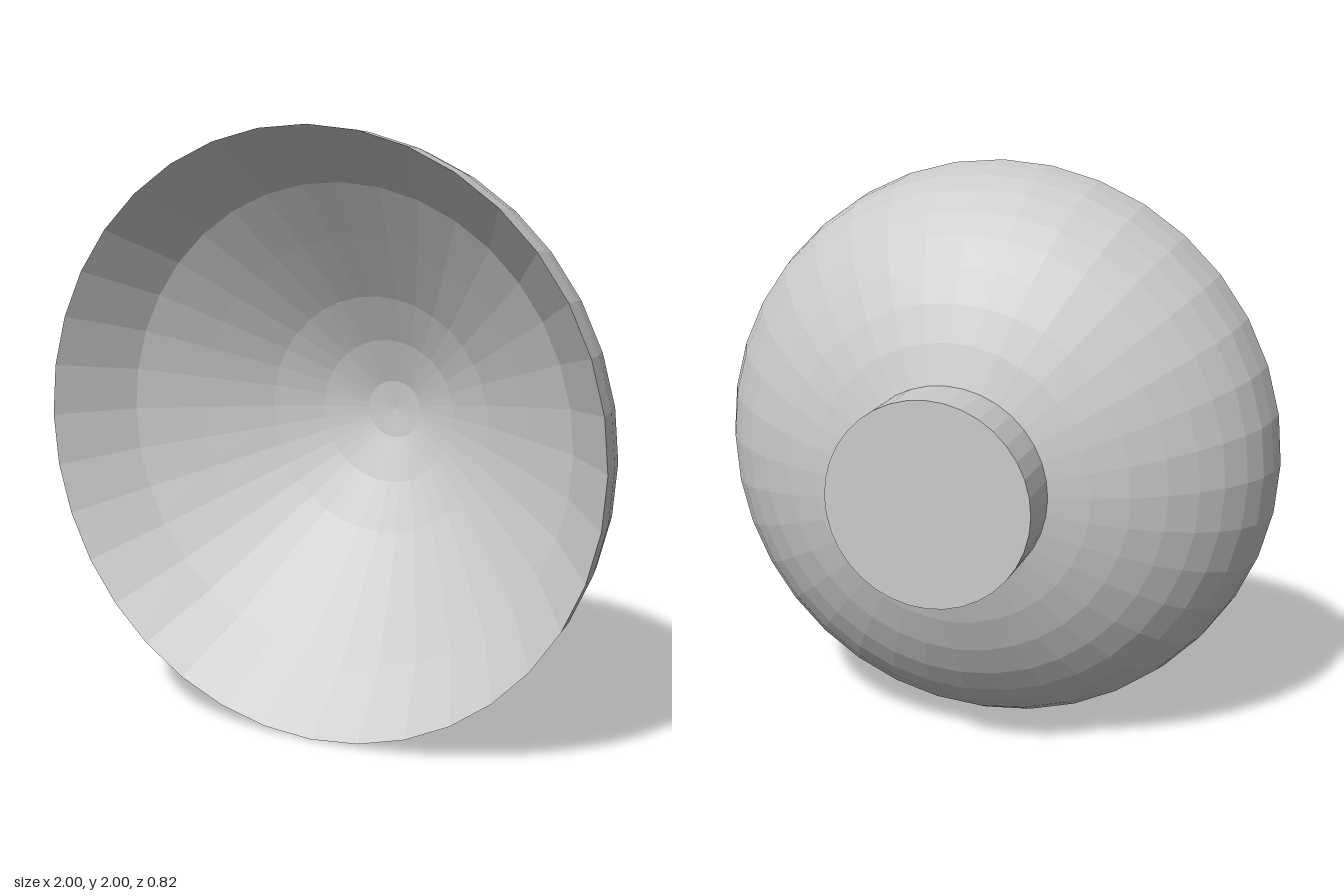
import * as THREE from 'three';

const SIDES = 36;
const material = new THREE.MeshStandardMaterial({ color: 0xcccccc, flatShading: true, side: THREE.DoubleSide });

// Revolve [radius, z] pairs around the z axis
function revolve(name, profile) {
  const points = profile.map(([r, z]) => new THREE.Vector2(r, z));
  const geometry = new THREE.LatheGeometry(points, SIDES);
  geometry.rotateX(Math.PI / 2);
  const mesh = new THREE.Mesh(geometry, material);
  mesh.name = name;
  return mesh;
}

export function createModel() {
  const bowl = new THREE.Group();
  bowl.name = 'bowlWithNeck';
  bowl.position.y = 1;

  // Outer shell: half an ellipsoid from the back to a short upright rim
  const outer = [0, 0.2, 0.35, 0.48, 0.6, 0.71, 0.8, 0.87, 0.93, 0.97]
    .map((r) => [r, 0.39 - 0.65 * Math.sqrt(1 - r * r)]);
  outer.push([0.99, 0.32], [1, 0.41]);
  bowl.add(revolve('outerShell', outer));

  // Funnel-like hollow in broad bands, thin at the rim and thicker further in
  bowl.add(revolve('innerHollow', [
    [1, 0.41], [0.81, 0.19], [0.62, 0.06], [0.41, -0.08], [0.25, -0.16], [0.1, -0.21], [0, -0.22],
  ]));

  // Solid round neck at the back
  bowl.add(revolve('neck', [[0, -0.415], [0.347, -0.415], [0.347, -0.21]]));

  const model = new THREE.Group();
  model.add(bowl);
  return model;
}
